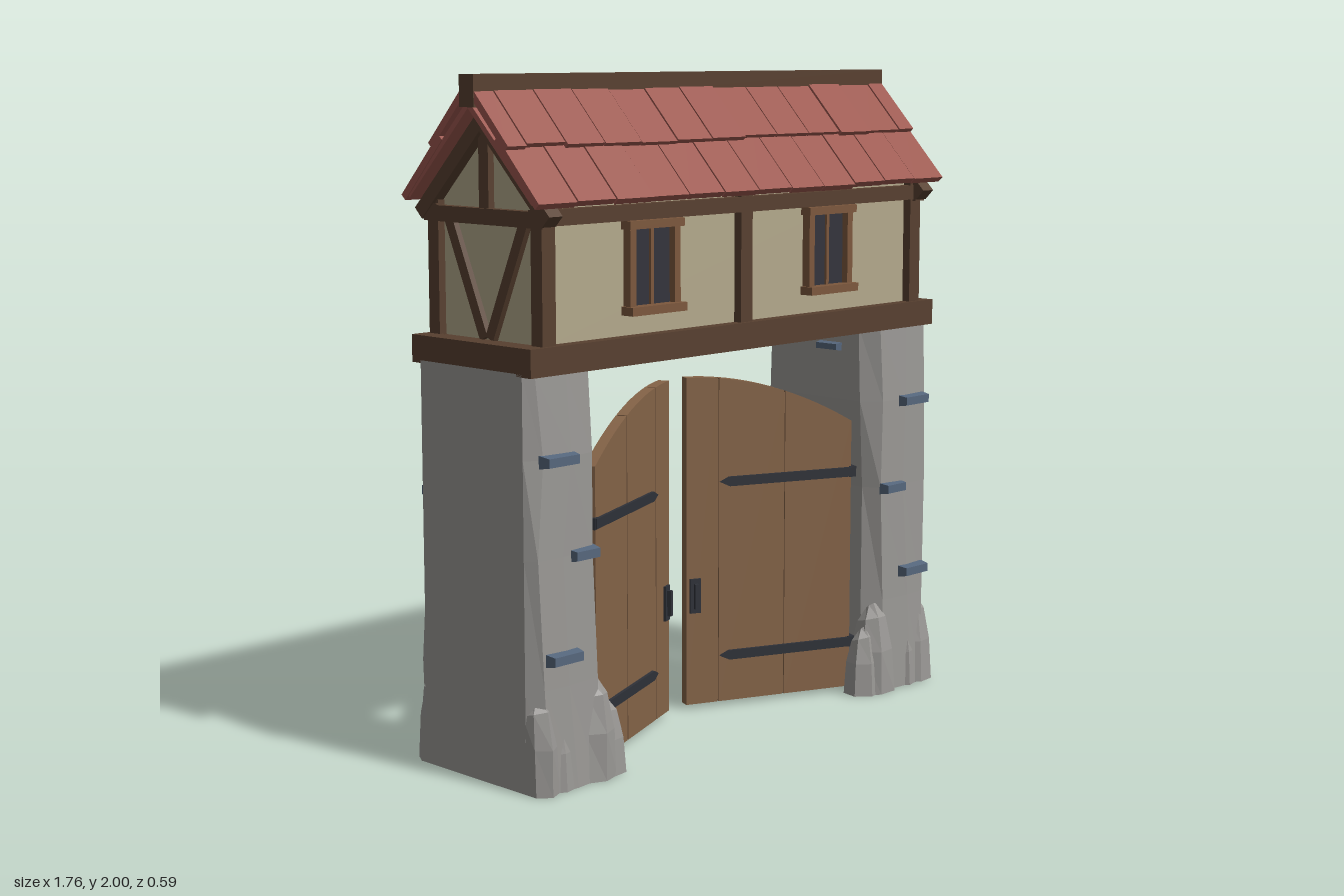
import * as THREE from 'three';

const mat = (name, color) => Object.assign(new THREE.MeshStandardMaterial({ color }), { name });

export function createModel() {
  const stone = mat('stone', 0x9a9895), brick = mat('blueBrick', 0x56677d);
  const tile = mat('roofTile', 0x9c574e), beam = mat('darkTimber', 0x584030);
  const plaster = mat('plaster', 0xb3a98c), wood = mat('doorWood', 0x846347);
  const trim = mat('windowWood', 0x7c583d), iron = mat('iron', 0x2e3138), glass = mat('glass', 0x34343c);
  const model = new THREE.Group();
  model.name = 'gatehouse';

  let seed = 7;
  const rnd = (a) => { seed = (seed * 16807) % 2147483647; return (seed / 2147483647 * 2 - 1) * a; };

  const add = (parent, name, geo, m, x = 0, y = 0, z = 0) => {
    const mesh = new THREE.Mesh(geo, m);
    mesh.name = name;
    mesh.position.set(x, y, z);
    parent.add(mesh);
    return mesh;
  };
  const box = (parent, name, m, w, h, d, x, y, z) => add(parent, name, new THREE.BoxGeometry(w, h, d), m, x, y, z);
  // Straight timber between two points of the parent's xy plane
  const bar = (parent, name, m, x1, y1, x2, y2, width, depth, z) => {
    const b = box(parent, name, m, Math.hypot(x2 - x1, y2 - y1), width, depth, (x1 + x2) / 2, (y1 + y2) / 2, z);
    b.rotation.z = Math.atan2(y2 - y1, x2 - x1);
    return b;
  };
  const group = (name, x = 0, y = 0, z = 0, parent = model) => {
    const g = new THREE.Group();
    g.name = name;
    g.position.set(x, y, z);
    parent.add(g);
    return g;
  };
  const extrude = (pts, depth) => new THREE.ExtrudeGeometry(
    new THREE.Shape(pts.map(([x, y]) => new THREE.Vector2(x, y))), { depth, bevelEnabled: false });

  // Faceted solid through horizontal rings of [x, y, z] points
  const loft = (rings) => {
    const n = rings[0].length, idx = [], top = (rings.length - 1) * n;
    for (let i = 0; i < rings.length - 1; i++) for (let j = 0; j < n; j++) {
      const a = i * n + j, b = i * n + (j + 1) % n;
      idx.push(a, a + n, b + n, a, b + n, b);
    }
    for (let j = 1; j < n - 1; j++) idx.push(0, j, j + 1, top, top + j + 1, top + j);
    const g = new THREE.BufferGeometry();
    g.setAttribute('position', new THREE.Float32BufferAttribute(rings.flat(2), 3));
    g.setIndex(idx);
    const flat = g.toNonIndexed();
    flat.computeVertexNormals();
    return flat;
  };

  // Brick whose outer (+z) face is slightly smaller
  const brickGeo = (w, h, d) => {
    const g = new THREE.BoxGeometry(w, h, d), p = g.attributes.position;
    for (let i = 0; i < p.count; i++) if (p.getZ(i) > 0) p.setXY(i, p.getX(i) - Math.sign(p.getX(i)) * 0.008, p.getY(i) - Math.sign(p.getY(i)) * 0.008);
    g.computeVertexNormals();
    return g;
  };

  // Pillars: [height, half depth, inner x]
  const levels = [[0, 0.268, 0.595], [0.3, 0.256, 0.6], [0.67, 0.248, 0.61], [0.95, 0.246, 0.597], [1.19, 0.235, 0.6]];
  for (const s of [1, -1]) {
    const g = group(s > 0 ? 'leftPillar' : 'rightPillar');
    const rings = levels.map(([y, f, xi]) => {
      const r = [[0.88, 0.215], [0.845 + rnd(0.015), f], [0.75 + rnd(0.02), f + 0.005], [0.64 + rnd(0.008), f - 0.005], [xi, f - 0.06],
        [xi, 0.06 - f], [0.64 + rnd(0.008), 0.005 - f], [0.75 + rnd(0.02), -f - 0.005], [0.845 + rnd(0.015), -f], [0.88, -0.215]]
        .map(([x, z]) => [s * x, y, z]);
      return s > 0 ? r : r.reverse();
    });
    add(g, 'pillarShaft', loft(rings), stone);

    // Foot rocks: x, height, radius
    for (const f of [1, -1]) for (const [x, h, r] of [[0.835, 0.27, 0.072], [0.775, 0.22, 0.062], [0.625, 0.28, 0.08], [0.585, 0.21, 0.062]]) {
      const jit = Array.from({ length: 7 }, () => 1 + rnd(0.12));
      const rock = [[0, 1], [0.5, 0.88], [0.85, 0.6], [1, 0.22]].map(([t, k]) => jit.map((q, j) => {
        const a = j / 7 * Math.PI * 2 + s;
        return [s * Math.min(0.88, s * (s * x + Math.cos(a) * r * k * q)), t * h + (t > 0.6 ? Math.sin(a) * 0.012 : 0),
          THREE.MathUtils.clamp(f * 0.218 + Math.sin(a) * r * k * q, -0.288, 0.288)];
      }));
      add(g, 'footRock', loft(rock), stone);
    }

    // Protruding bricks: front, back, then one on the inner face
    for (const [x, y, w, f, z] of [[0.78, 0.945, 0.13, 1, 0.252], [0.686, 0.667, 0.105, 1, 0.247], [0.777, 0.385, 0.125, 1, 0.262],
      [0.78, 0.8, 0.125, -1, 0.25], [0.7, 0.52, 0.11, -1, 0.26]]) {
      const b = add(g, 'pillarBrick', brickGeo(w, 0.042, 0.05), brick, s * x, y, f * z);
      if (f < 0) b.rotation.y = Math.PI;
    }
    add(g, 'pillarBrick', brickGeo(0.1, 0.035, 0.05), brick, s * 0.6, 1.12, 0.06).rotation.y = -s * Math.PI / 2;
  }

  // Half-open door leaves, u runs from hinge to free edge
  const arch = (u) => 1.06 - 0.17 * ((0.575 - u) / 0.575) ** 2;
  for (const s of [1, -1]) {
    const door = group(s > 0 ? 'leftDoor' : 'rightDoor', s * 0.575, 0, 0.16);
    door.rotation.y = -s * 0.4;
    const leaf = (u0, u1, drop, depth) => {
      const pts = [[-s * u0, 0.015 + drop], [-s * u1, 0.015 + drop]];
      for (let i = 0; i <= 6; i++) {
        const u = u1 + (u0 - u1) * i / 6;
        pts.push([-s * u, arch(u) - drop]);
      }
      return extrude(pts, depth);
    };
    add(door, 'doorCore', leaf(0.005, 0.57, 0.004, 0.024), wood, 0, 0, -0.012);
    const cuts = [0, 0.237, 0.466, 0.575];
    for (let i = 0; i < 3; i++)
      add(door, 'doorPlank', leaf(cuts[i] + (i ? 0.0025 : 0), cuts[i + 1] - (i < 2 ? 0.0025 : 0), 0, 0.034), wood, 0, 0, -0.017);
    for (const y of [0.165, 0.725]) {
      const strap = [[-0.012, -0.015], [0.43, -0.015], [0.462, 0], [0.43, 0.015], [-0.012, 0.015]];
      add(door, 'strapHinge', extrude(strap.map(([u, v]) => [-s * u, y + v]), 0.012), iron, 0, 0, 0.015);
      box(door, 'hingeKnuckle', iron, 0.024, 0.034, 0.04, s * 0.004, y, 0.003);
      box(door, 'doorBatten', wood, 0.52, 0.055, 0.016, -s * 0.2875, y, -0.022);
    }
    const lo = s > 0 ? 0.07 : 0.5, hi = 0.57 - lo;
    bar(door, 'doorBrace', wood, -s * lo, 0.2, -s * hi, 0.69, 0.05, 0.013, -0.021);
    box(door, 'handlePlate', iron, 0.036, 0.11, 0.01, -s * 0.546, 0.367, 0.02);
    box(door, 'handleGrip', iron, 0.014, 0.08, 0.016, -s * 0.546, 0.367, 0.03);
  }

  // Floor frame with joists underneath
  for (const f of [1, -1]) {
    box(model, 'floorBeam', beam, 1.76, 0.08, 0.06, 0, 1.222, f * 0.222);
    box(model, 'floorEndBeam', beam, 0.06, 0.08, 0.4, f * 0.85, 1.222, 0);
  }
  box(model, 'floorBoards', beam, 1.72, 0.02, 0.42, 0, 1.25, 0);
  for (let i = -2; i <= 2; i++) box(model, 'floorJoist', beam, 0.06, 0.045, 0.4, i * 0.24, 1.22, 0);

  // Plastered upper storey
  const walls = add(model, 'plasterWalls', extrude([[-0.212, 1.255], [0.212, 1.255], [0.212, 1.68], [0, 1.89], [-0.212, 1.68]], 1.6), plaster, -0.8);
  walls.rotation.y = Math.PI / 2;

  // Timber posts and windows on the long walls
  for (const f of [1, -1]) {
    const side = group(f > 0 ? 'frontWall' : 'backWall');
    side.rotation.y = f > 0 ? 0 : Math.PI;
    for (const x of [-0.799, 0, 0.799]) box(side, 'wallPost', beam, 0.05, 0.39, 0.045, x, 1.45, 0.217);
    box(side, 'wallPlate', beam, 1.66, 0.045, 0.05, 0, 1.613, 0.218);
    for (const x of [-0.385, 0.385]) {
      const win = group('window', x, 1.455, 0.212, side);
      box(win, 'windowPane', glass, 0.17, 0.24, 0.008, 0, 0, 0.003);
      for (const u of [-0.09, 0.09]) box(win, 'windowJamb', trim, 0.024, 0.23, 0.04, u, 0, 0.008);
      box(win, 'windowMullion', trim, 0.012, 0.23, 0.02, 0, 0, 0.004);
      box(win, 'windowLintel', trim, 0.22, 0.024, 0.05, 0, 0.122, 0.012);
      box(win, 'windowSill', trim, 0.22, 0.025, 0.065, 0, -0.122, 0.014);
    }
  }

  // Half-timbered gables
  for (const s of [1, -1]) {
    const gable = group(s > 0 ? 'leftGable' : 'rightGable', s * 0.8, 0, 0);
    gable.rotation.y = s * Math.PI / 2;
    box(gable, 'tieBeam', beam, 0.5, 0.045, 0.045, 0, 1.608, 0.008);
    box(gable, 'kingPost', beam, 0.04, 0.25, 0.035, 0, 1.75, 0.004);
    for (const f of [1, -1]) {
      bar(gable, 'gableBrace', beam, 0.012 * f, 1.265, 0.16 * f, 1.6, 0.034, 0.03, 0.003);
      bar(gable, 'gableRafter', beam, -0.005 * f, 1.878, 0.268 * f, 1.605, 0.042, 0.05, 0.01);
    }
  }

  // Tiled roof slopes, local z runs down the slope
  for (const f of [1, -1]) {
    const half = group(f > 0 ? 'frontRoof' : 'backRoof');
    half.rotation.y = f > 0 ? 0 : Math.PI;
    const slope = group('roofSlope', 0, 1.95, 0, half);
    slope.rotation.x = Math.PI / 4;
    box(slope, 'roofBoard', tile, 1.75, 0.016, 0.385, 0, -0.022, 0.2);
    const step = 1.76 / 12;
    const row = (shift, s0, s1, y) => {
      for (let i = 0; i < 13; i++) {
        const a = Math.max(-0.88, -0.88 + (i - shift) * step), b = Math.min(0.88, -0.88 + (i + 1 - shift) * step);
        if (b - a < 0.02) continue;
        const len = s1 - s0 + rnd(0.006);
        const t = box(slope, 'roofTile', tile, b - a - 0.004, 0.022, len, (a + b) / 2, y + rnd(0.002), s0 + len / 2);
        t.rotation.x = 0.03;
      }
    };
    row(0, 0.17, 0.41, -0.009);
    row(0.5, 0.015, 0.217, 0.01);
  }
  box(model, 'ridgeBeam', beam, 1.76, 0.09, 0.06, 0, 1.955, 0);

  return model;
}
